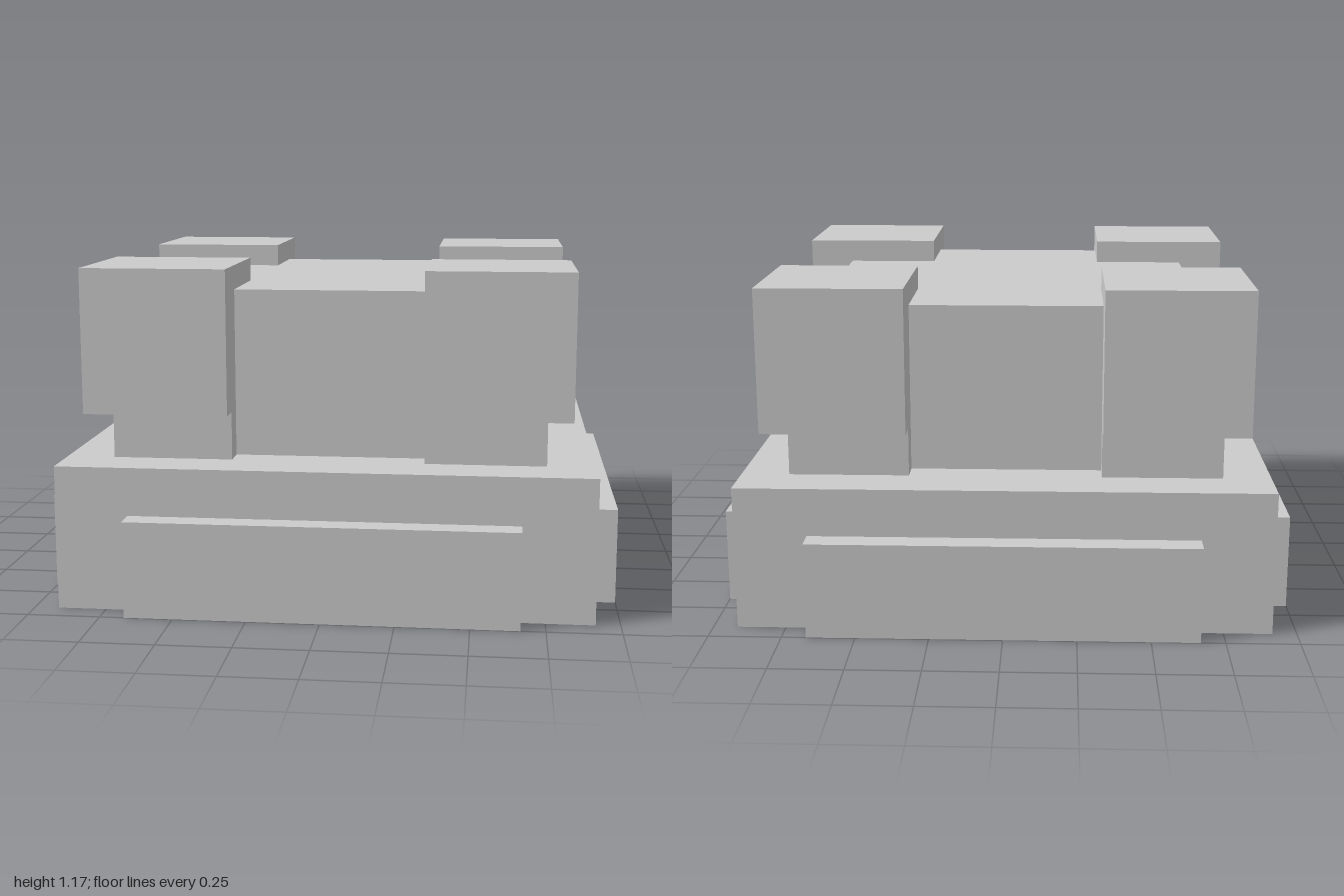
import * as THREE from 'three';

const U = 1 / 12; // the whole model sits on a grid of twelfths
const material = new THREE.MeshStandardMaterial({ color: 0xcccccc, flatShading: true });

// Box given by its extents in grid units
function block(name, [x0, x1], [y0, y1], [z0, z1]) {
  const mesh = new THREE.Mesh(
    new THREE.BoxGeometry((x1 - x0) * U, (y1 - y0) * U, (z1 - z0) * U), material);
  mesh.position.set((x0 + x1) / 2 * U, (y0 + y1) / 2 * U, (z0 + z1) / 2 * U);
  mesh.name = name;
  return mesh;
}

export function createModel() {
  const model = new THREE.Group();
  model.name = 'steppedBlock';

  // Square plinth and raised central block
  model.add(block('base', [-11, 11], [0, 6], [-11, 11]));
  model.add(block('core', [-8, 8], [6, 13], [-8, 8]));

  // One side panel and one corner post per quarter turn
  for (let i = 0; i < 4; i++) {
    const quarter = new THREE.Group();
    quarter.name = 'quarter' + (i + 1);
    quarter.add(block('sidePanel', [-8, 8], [0, 4], [11, 12]));
    quarter.add(block('postFoot', [4, 9], [6, 8], [4, 9]));
    quarter.add(block('postHead', [4, 10], [8, 14], [4, 10]));
    quarter.rotation.y = i * Math.PI / 2;
    model.add(quarter);
  }
  return model;
}
